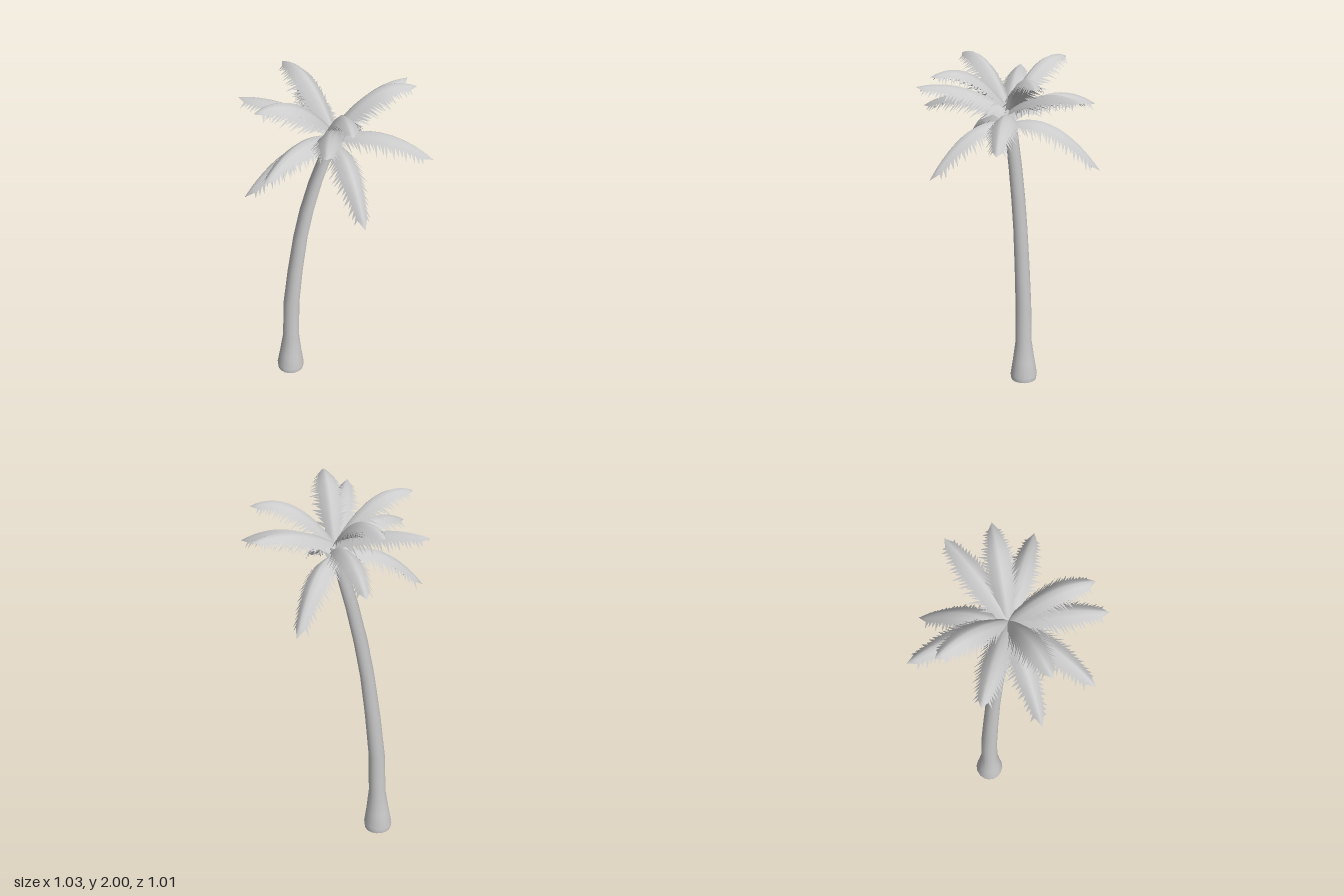
import * as THREE from 'three';

const material = new THREE.MeshStandardMaterial({ color: 0xcccccc, side: THREE.DoubleSide });

// Leaning trunk: a lathe profile whose rings are shifted along x
function createTrunk() {
  // [y, centre x, radius]
  const rings = [
    [0, -0.299, 0.075], [0.03, -0.299, 0.079], [0.12, -0.296, 0.065], [0.25, -0.291, 0.048],
    [0.5, -0.283, 0.046], [0.75, -0.253, 0.043], [1.0, -0.215, 0.04], [1.2, -0.172, 0.039],
    [1.4, -0.117, 0.037], [1.6, -0.05, 0.035], [1.72, -0.014, 0.03], [1.73, -0.012, 0.001],
  ];
  const geometry = new THREE.LatheGeometry(rings.map(([y, , r]) => new THREE.Vector2(r, y)), 16);
  const pos = geometry.attributes.position;
  for (let i = 0; i < pos.count; i++) {
    pos.setX(i, pos.getX(i) + rings[i % rings.length][1]);
  }
  const trunk = new THREE.Mesh(geometry, material);
  trunk.position.z = -0.025;
  trunk.name = 'trunk';
  return trunk;
}

// Arched leaf blade, folded down from its midrib, with a saw-toothed edge
function createFrond(rootY, rise, tip, seed) {
  const root = new THREE.Vector3(-0.01, rootY, -0.025);
  const control = root.clone().lerp(tip, 0.5).setY(tip.y + rise);
  const rib = new THREE.QuadraticBezierCurve3(root, control, tip);
  const side = new THREE.Vector3(-(tip.z - root.z), 0, tip.x - root.x).normalize();

  const halfWidth = (t) => {
    const base = 0.036 + 0.014 * Math.min(1, t / 0.3);
    return base * (t > 0.6 ? 1 - 0.6 * ((t - 0.6) / 0.4) : 1);
  };
  // Surface point at t along the rib and v across it; straight beyond the blade edge
  const point = (t, v) => {
    const w = halfWidth(t);
    const tangent = rib.getTangent(t);
    const up = side.clone().cross(tangent).normalize();
    const a = Math.abs(v);
    const drop = a > 1 ? 0.75 + 1.0 * (a - 1) : 0.75 * a ** 1.5;
    return rib.getPoint(t).addScaledVector(side, w * v).addScaledVector(up, -w * drop);
  };

  const positions = [];
  const index = [];
  const add = (p) => positions.push(p.x, p.y, p.z) / 3 - 1;

  const rows = 24;
  const across = [-1, -0.5, 0, 0.5, 1];
  const cols = across.length;
  const end = 0.93;
  for (let i = 0; i <= rows; i++) {
    for (const v of across) add(point((end * i) / rows, v));
  }
  for (let i = 0; i < rows; i++) {
    for (let j = 0; j < cols - 1; j++) {
      const a = i * cols + j, b = a + 1, c = a + cols, d = c + 1;
      index.push(a, b, c, b, d, c);
    }
  }
  // Teeth sweep outward and forward, with uneven lengths
  for (let i = 3; i < rows; i++) {
    for (const s of [-1, 1]) {
      const wave = 0.5 + 0.5 * Math.sin(i * 2.4 + s + seed * 1.7);
      const reach = 1.45 + 0.55 * wave + 0.25 * (i / rows) ** 3;
      const t = Math.min(1, (end * (i + 1.6 + 0.5 * wave)) / rows);
      const apex = add(point(t, s * reach));
      const a = i * cols + (s > 0 ? cols - 1 : 0);
      if (s > 0) index.push(a, apex, a + cols);
      else index.push(a, a + cols, apex);
    }
  }
  // Pointed end
  const last = rows * cols;
  const apex = add(point(1, 0));
  for (let j = 0; j < cols - 1; j++) index.push(last + j, last + j + 1, apex);

  const geometry = new THREE.BufferGeometry();
  geometry.setAttribute('position', new THREE.Float32BufferAttribute(positions, 3));
  geometry.setIndex(index);
  geometry.computeVertexNormals();
  const frond = new THREE.Mesh(geometry, material);
  frond.name = 'frond';
  return frond;
}

export function createModel() {
  const model = new THREE.Group();
  model.name = 'palmTree';
  model.add(createTrunk());

  // Four tiers of fronds; each tip is [x, y, z]
  const tiers = [
    { name: 'topFronds', root: 1.75, rise: 0.11,
      tips: [[0.34, 1.975, -0.28], [0.27, 1.975, 0.31], [-0.27, 1.97, 0.33], [-0.415, 1.96, -0.22]] },
    { name: 'upperFronds', root: 1.75, rise: 0.055,
      tips: [[0.2, 1.89, -0.475], [0.185, 1.89, 0.425], [-0.515, 1.865, 0.07]] },
    { name: 'lowerFronds', root: 1.72, rise: 0.195,
      tips: [[0.515, 1.67, -0.125], [-0.125, 1.695, 0.505], [-0.415, 1.705, -0.39]] },
    { name: 'droopingFronds', root: 1.68, rise: 0.345,
      tips: [[-0.08, 1.44, -0.51], [0.34, 1.44, 0.3], [-0.35, 1.44, 0.325]] },
  ];
  let seed = 0;
  for (const { name, root, rise, tips } of tiers) {
    const tier = new THREE.Group();
    tier.name = name;
    for (const tip of tips) {
      tier.add(createFrond(root, rise, new THREE.Vector3(...tip), seed++));
    }
    model.add(tier);
  }
  return model;
}
